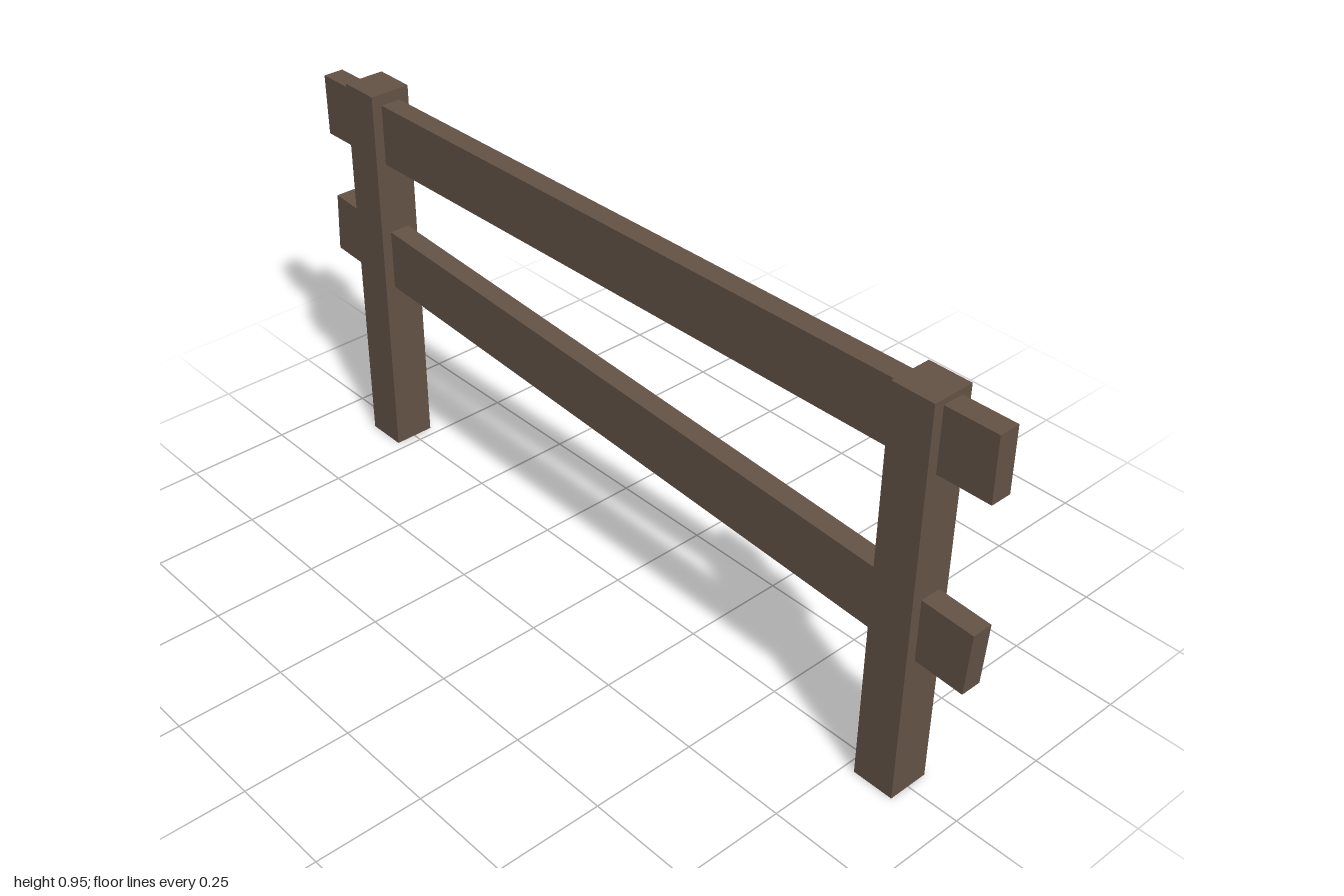
import * as THREE from 'three';

const POST = { width: 0.1, height: 0.948, x: 0.824 };
const RAIL = { height: 0.148, depth: 0.05 };

export function createModel() {
  const fence = new THREE.Group();
  fence.name = 'fence';
  const wood = new THREE.MeshStandardMaterial({ color: 0x645346 });
  wood.name = 'weathered wood';

  const addBeam = (name, w, h, d, x, y, tilt = 0) => {
    const beam = new THREE.Mesh(new THREE.BoxGeometry(w, h, d), wood);
    beam.name = name;
    beam.position.set(x, y, 0);
    beam.rotation.z = tilt;
    fence.add(beam);
  };

  // Upright square posts
  for (const [name, side] of [['leftPost', 1], ['rightPost', -1]]) {
    addBeam(name, POST.width, POST.height, POST.width, side * POST.x, POST.height / 2);
  }

  // Slightly crooked rails running through the posts
  addBeam('upperRail', 1.998, RAIL.height, RAIL.depth, 0, 0.853, 0.0088);
  addBeam('lowerRail', 1.994, RAIL.height, RAIL.depth, 0, 0.475, -0.0588);

  return fence;
}
